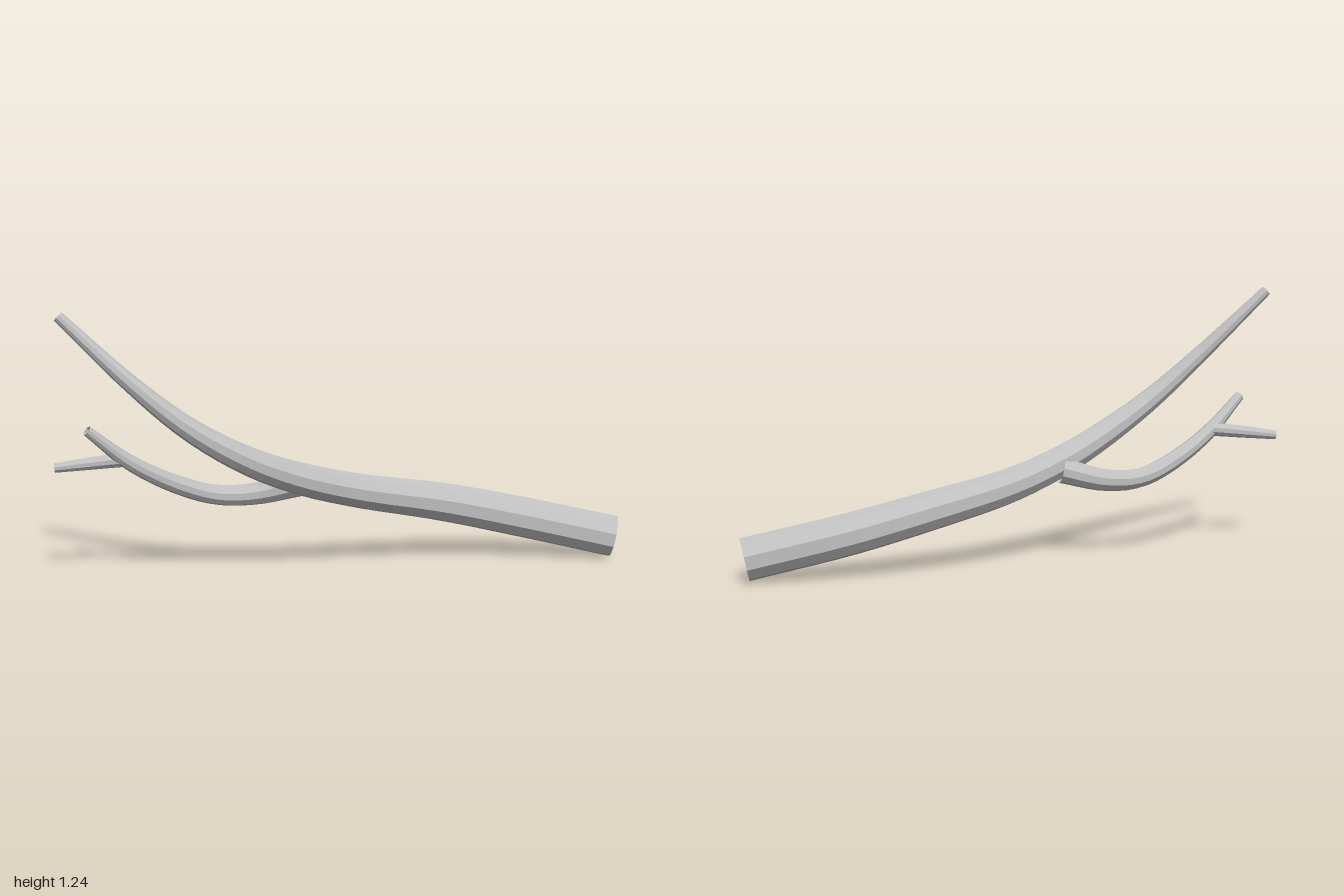
import * as THREE from 'three';

const bark = new THREE.MeshStandardMaterial({ color: 0xc0c0c0, flatShading: true, side: THREE.DoubleSide });
bark.name = 'greyBark';

// Open tapered limb swept through stations of [x, y, z, radius]
function limb(name, stations, steps, sides = 10) {
  const curve = new THREE.CatmullRomCurve3(stations.map(([x, y, z]) => new THREE.Vector3(x, y, z)));
  const geometry = new THREE.TubeGeometry(curve, steps, 1, sides);
  const { normals, binormals } = curve.computeFrenetFrames(steps);
  const pos = geometry.attributes.position;
  const v = new THREE.Vector3();
  for (let i = 0; i <= steps; i++) {
    const t = curve.getUtoTmapping(i / steps) * (stations.length - 1);
    const k = Math.min(Math.floor(t), stations.length - 2);
    const radius = THREE.MathUtils.lerp(stations[k][3], stations[k + 1][3], t - k);
    const centre = curve.getPointAt(i / steps);
    for (let j = 0; j <= sides; j++) {
      const a = (j / sides) * Math.PI * 2;
      v.copy(centre)
        .addScaledVector(normals[i], -Math.cos(a) * radius)
        .addScaledVector(binormals[i], Math.sin(a) * radius);
      pos.setXYZ(i * (sides + 1) + j, v.x, v.y, v.z);
    }
  }
  geometry.computeVertexNormals();
  const mesh = new THREE.Mesh(geometry, bark);
  mesh.name = name;
  return mesh;
}

export function createModel() {
  const group = new THREE.Group();
  group.name = 'branch';

  // Main limb, rising from the thick open end to the high tip
  group.add(limb('mainLimb', [
    [0.915, 0.102, 0.9, 0.1],
    [0.65, 0.2, 0.52, 0.098],
    [0.4, 0.28, 0.26, 0.093],
    [0.05, 0.367, 0, 0.082],
    [-0.2, 0.45, -0.14, 0.076],
    [-0.42, 0.555, -0.265, 0.066],
    [-0.63, 0.715, -0.43, 0.053],
    [-0.8, 0.925, -0.62, 0.04],
    [-0.975, 1.228, -0.89, 0.025],
  ], 40));

  // Side branch that dips and then curls upward
  group.add(limb('sideBranch', [
    [-0.17, 0.415, -0.165, 0.06],
    [-0.28, 0.365, -0.34, 0.052],
    [-0.4, 0.366, -0.465, 0.047],
    [-0.56, 0.43, -0.57, 0.043],
    [-0.75, 0.55, -0.68, 0.036],
    [-0.925, 0.715, -0.78, 0.023],
  ], 24));

  // Short straight twig near the end of the side branch
  group.add(limb('twig', [
    [-0.765, 0.567, -0.695, 0.034],
    [-0.86, 0.548, -0.825, 0.029],
    [-0.958, 0.528, -0.953, 0.022],
  ], 4));

  return group;
}
